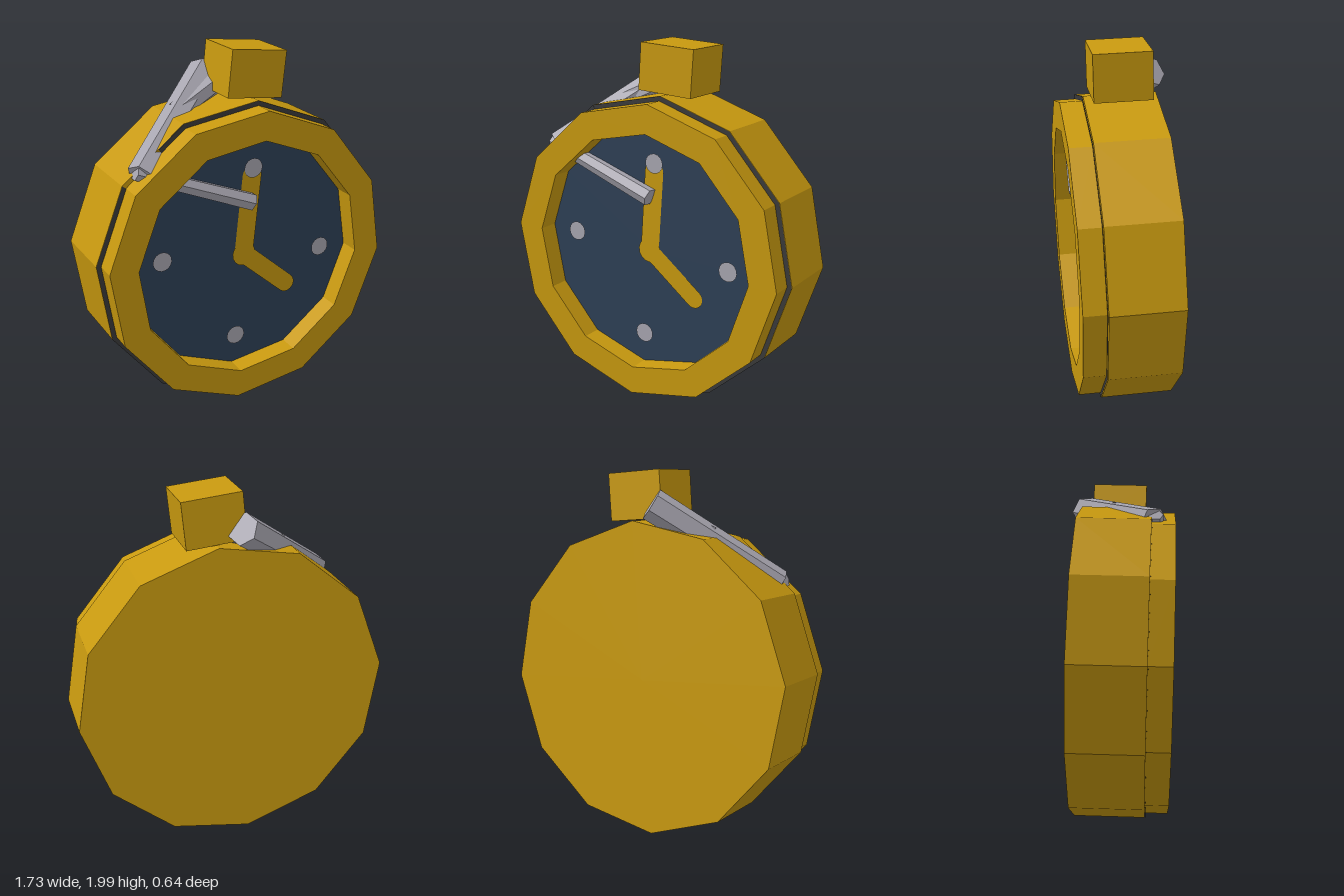
import * as THREE from 'three';

const flat = (name, color) => {
  const m = new THREE.MeshStandardMaterial({ color, flatShading: true });
  m.name = name;
  return m;
};

export function createModel() {
  const gold = flat('gold', 0xc8990f);
  const navy = flat('navy', 0x2e4056);
  const silver = flat('silver', 0xa8a6b0);
  const dark = flat('darkTrim', 0x3a3a3a);

  const root = new THREE.Group();
  root.name = 'pocketWatch';

  // The watch is built upright with its dial plane at z = 0, then tilted
  const watch = new THREE.Group();
  watch.name = 'watch';
  watch.position.set(0.012, 0.866, 0.13);
  watch.rotation.set(0.036, 0.07, -0.0925);
  root.add(watch);

  const add = (name, geo, mat, x = 0, y = 0, z = 0, parent = watch) => {
    const mesh = new THREE.Mesh(geo, mat);
    mesh.name = name;
    mesh.position.set(x, y, z);
    parent.add(mesh);
    return mesh;
  };
  const polygon = (Path, r) => {
    const pts = [];
    for (let i = 0; i < 12; i++) {
      const a = (i * Math.PI) / 6;
      pts.push(new THREE.Vector2(r * Math.cos(a), r * Math.sin(a)));
    }
    return new Path(pts);
  };

  // Case and crown
  const R = 0.858, depth = 0.39;
  add('case', new THREE.CylinderGeometry(R, R, depth, 12).rotateX(Math.PI / 2), gold, 0, 0, -depth / 2);
  add('crown', new THREE.BoxGeometry(0.325, 0.256, 0.312), gold, 0, 0.99, -0.195);

  // Dark seam around the case front, broken at the upper left
  add('seam', new THREE.RingGeometry(0.78, R, 11, 1, (Math.PI * 5) / 6, (Math.PI * 11) / 6), dark, 0, 0, 0.004);
  const seamEnd = new THREE.Group();
  seamEnd.name = 'seamEndPivot';
  seamEnd.rotation.z = Math.PI / 4;
  watch.add(seamEnd);
  add('seamEnd', new THREE.BoxGeometry(0.18, 0.03, 0.006), dark, 0.13, 0.813, 0.002, seamEnd);

  // Bezel
  const bezelShape = polygon(THREE.Shape, 0.832);
  bezelShape.holes.push(polygon(THREE.Path, 0.672));
  add('bezel', new THREE.ExtrudeGeometry(bezelShape, { depth: 0.125, bevelEnabled: false }), gold);

  // Dial and hour markers
  add('dial', new THREE.CircleGeometry(0.7, 12), navy, 0, 0, 0.008);
  for (let i = 0; i < 4; i++) {
    const a = (i * Math.PI) / 2;
    add('hourMarker', new THREE.CircleGeometry(0.055, 16), silver, 0.495 * Math.cos(a), 0.495 * Math.sin(a), 0.022);
  }

  // Hands: flat capsules starting at the hub
  const hand = (name, length, r, angle) => {
    const s = new THREE.Shape();
    s.absarc(length, 0, r, -Math.PI / 2, Math.PI / 2, false);
    s.absarc(0, 0, r, Math.PI / 2, Math.PI * 1.5, false);
    add(name, new THREE.ShapeGeometry(s, 8), gold, 0, 0, 0.015).rotation.z = angle;
  };
  hand('minuteHand', 0.45, 0.058, Math.PI / 2);
  hand('hourHand', 0.365, 0.053, -0.61);
  add('hub', new THREE.CircleGeometry(0.07, 16), gold, 0, 0, 0.017);

  // Six-sided chain bars, from the crown over the rim and onto the dial
  const bar = (name, from, to, rFrom, rTo) => {
    const p = new THREE.Vector3(...from), q = new THREE.Vector3(...to);
    const dir = q.clone().sub(p);
    const mesh = add(name, new THREE.CylinderGeometry(rTo, rFrom, dir.length(), 6), silver, 0, 0, 0, root);
    mesh.position.copy(p).add(q).multiplyScalar(0.5);
    mesh.quaternion.setFromUnitVectors(new THREE.Vector3(0, 1, 0), dir.normalize());
  };
  bar('chainBack', [-0.06, 1.825, -0.225], [-0.585, 1.4, 0.205], 0.088, 0.08);
  bar('chainLink', [-0.05, 1.77, -0.12], [-0.31, 1.65, -0.03], 0.06, 0.06);
  bar('chainFront', [-0.62, 1.425, 0.215], [0.045, 1.175, 0.185], 0.04, 0.05);

  return root;
}
